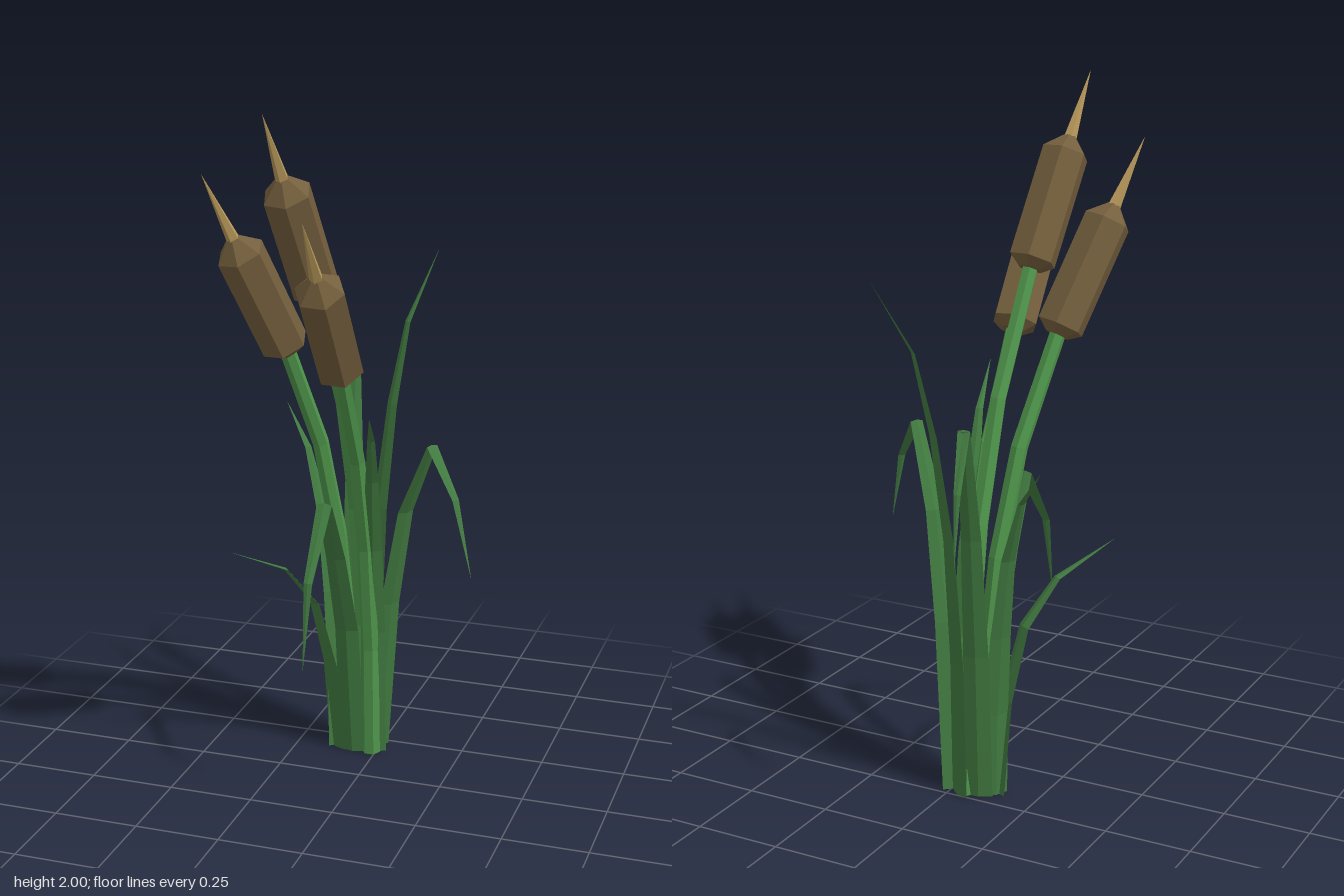
import * as THREE from 'three';

const mat = (name, color) => {
  const m = new THREE.MeshStandardMaterial({ color, flatShading: true });
  m.name = name;
  return m;
};

// Sweeps an n-sided section along a curve lying in one vertical plane.
// root and tip are [x, z]; profile holds [fraction outwards, height]; size(t) gives [half width, half thickness].
function sweep(root, tip, profile, n, size) {
  const dx = tip[0] - root[0], dz = tip[1] - root[1];
  const path = profile.map(([s, y]) => new THREE.Vector3(root[0] + dx * s, y, root[1] + dz * s));
  const side = new THREE.Vector3(dz, 0, -dx).normalize();
  const lengths = [0];
  for (let i = 1; i < path.length; i++) lengths.push(lengths[i - 1] + path[i].distanceTo(path[i - 1]));
  const last = path.length - 1;
  const pos = [], idx = [];

  path.forEach((p, i) => {
    const tangent = i === 0
      ? new THREE.Vector3(0, 1, 0)
      : path[Math.min(i + 1, last)].clone().sub(path[i - 1]).normalize();
    const normal = tangent.clone().cross(side);
    const [w, h] = size(lengths[i] / lengths[last]);
    for (let j = 0; j < n; j++) {
      const a = (j / n) * Math.PI * 2;
      const v = p.clone().addScaledVector(side, Math.cos(a) * w).addScaledVector(normal, Math.sin(a) * h);
      pos.push(v.x, v.y, v.z);
    }
  });
  for (let i = 0; i < last; i++) {
    for (let j = 0; j < n; j++) {
      const a = i * n + j, b = i * n + (j + 1) % n;
      idx.push(a, b, b + n, a, b + n, a + n);
    }
  }
  // base cap
  for (let j = 1; j < n - 1; j++) idx.push(0, j + 1, j);

  const indexed = new THREE.BufferGeometry();
  indexed.setAttribute('position', new THREE.Float32BufferAttribute(pos, 3));
  indexed.setIndex(idx);
  const g = indexed.toNonIndexed();
  g.computeVertexNormals();
  return g;
}

export function createModel() {
  const model = new THREE.Group();
  model.name = 'reedPlant';
  const leafGreen = mat('leaf green', 0x417a40);
  const stemGreen = mat('stem green', 0x4f964b);
  const headBrown = mat('seed head brown', 0x745f3d);
  const spikeTan = mat('spike tan', 0xb8995a);

  const add = (parent, name, geometry, material) => {
    const mesh = new THREE.Mesh(geometry, material);
    mesh.name = name;
    parent.add(mesh);
    return mesh;
  };

  // Blades: upright ones arch outwards, bent ones fold over near the top
  const leaves = [
    { name: 'bentLeafBack', root: [-0.09, -0.22], tip: [-0.175, -0.515],
      profile: [[0, 0], [0.13, 0.44], [0.32, 0.8], [0.6, 1.13], [0.87, 0.98], [1, 0.79]] },
    { name: 'bentLeafLeft', root: [-0.005, -0.205], tip: [0.35, 0.06],
      profile: [[0, 0], [0.13, 0.49], [0.3, 0.8], [0.58, 1.03], [0.83, 0.9], [1, 0.69]] },
    { name: 'bentLeafFront', root: [-0.07, -0.155], tip: [-0.07, 0.29],
      profile: [[0, 0], [0.13, 0.42], [0.35, 0.68], [0.57, 0.875], [0.89, 0.69], [1, 0.45]] },
    { name: 'tallLeafBack', root: [-0.035, -0.235], tip: [0.1, -0.455],
      profile: [[0, 0], [0.03, 0.4], [0.12, 0.757], [0.3, 1.07], [0.53, 1.31], [1, 1.51]] },
    { name: 'archedLeafBackRight', root: [-0.125, -0.19], tip: [-0.345, -0.355],
      profile: [[0, 0], [0.03, 0.25], [0.13, 0.49], [0.3, 0.73], [0.59, 0.915], [1, 1.03]] },
    { name: 'archedLeafFrontRight', root: [-0.125, -0.17], tip: [-0.345, 0.125],
      profile: [[0, 0], [0.07, 0.28], [0.22, 0.49], [0.5, 0.62], [1, 0.71]] },
    { name: 'archedLeafFrontLeft', root: [-0.01, -0.17], tip: [0.095, 0.2],
      profile: [[0, 0], [0.06, 0.4], [0.2, 0.68], [0.4, 0.915], [0.6, 1.06], [1, 1.17]] },
  ];
  const leafSize = t => {
    const w = 0.039 * (1 - t * t) + 0.0004;
    return [w, w * 0.25];
  };
  for (const { name, root, tip, profile } of leaves) {
    add(model, name, sweep(root, tip, profile, 4, leafSize), leafGreen);
  }

  // Cattails: curved stem, six-sided seed head, thin pointed spike
  const headProfile = [[0, -0.02], [0.035, -0.02], [0.069, 0.005], [0.069, 0.325], [0.018, 0.375], [0, 0.375]]
    .map(([r, y]) => new THREE.Vector2(r, y));
  const stemCurve = [[0, 0], [0.04, 0.27], [0.2, 0.53], [0.48, 0.76], [1, 1]];
  const cattails = [
    { name: 'middleCattail', root: [-0.05, -0.215], base: [-0.09, 1.49, 0.095], tip: [-0.14, 2, 0.36], twist: 0.25 },
    { name: 'rightCattail', root: [-0.09, -0.2], base: [-0.195, 1.32, 0.06], tip: [-0.33, 1.83, 0.315], twist: 0.2 },
    { name: 'leftCattail', root: [-0.015, -0.165], base: [0, 1.29, 0.165], tip: [0.02, 1.757, 0.512], twist: 0.5 },
  ];
  for (const { name, root, base, tip, twist } of cattails) {
    const cattail = new THREE.Group();
    cattail.name = name;
    model.add(cattail);

    const profile = stemCurve.map(([s, y]) => [s, y * base[1]]);
    add(cattail, 'stem', sweep(root, [base[0], base[2]], profile, 6,
      t => [0.028 - 0.005 * t, 0.028 - 0.005 * t]), stemGreen);

    const start = new THREE.Vector3(...base);
    const axis = new THREE.Vector3(...tip).sub(start);
    const length = axis.length();
    const top = new THREE.Group();
    top.name = 'seedHeadWithSpike';
    top.position.copy(start);
    top.quaternion.setFromUnitVectors(new THREE.Vector3(0, 1, 0), axis.normalize());
    cattail.add(top);

    const head = add(top, 'seedHead', new THREE.LatheGeometry(headProfile, 6), headBrown);
    head.rotation.y = twist;
    const spikeLength = length - 0.36;
    const spike = add(top, 'spike', new THREE.ConeGeometry(0.02, spikeLength, 5), spikeTan);
    spike.position.y = length - spikeLength / 2;
  }
  return model;
}
